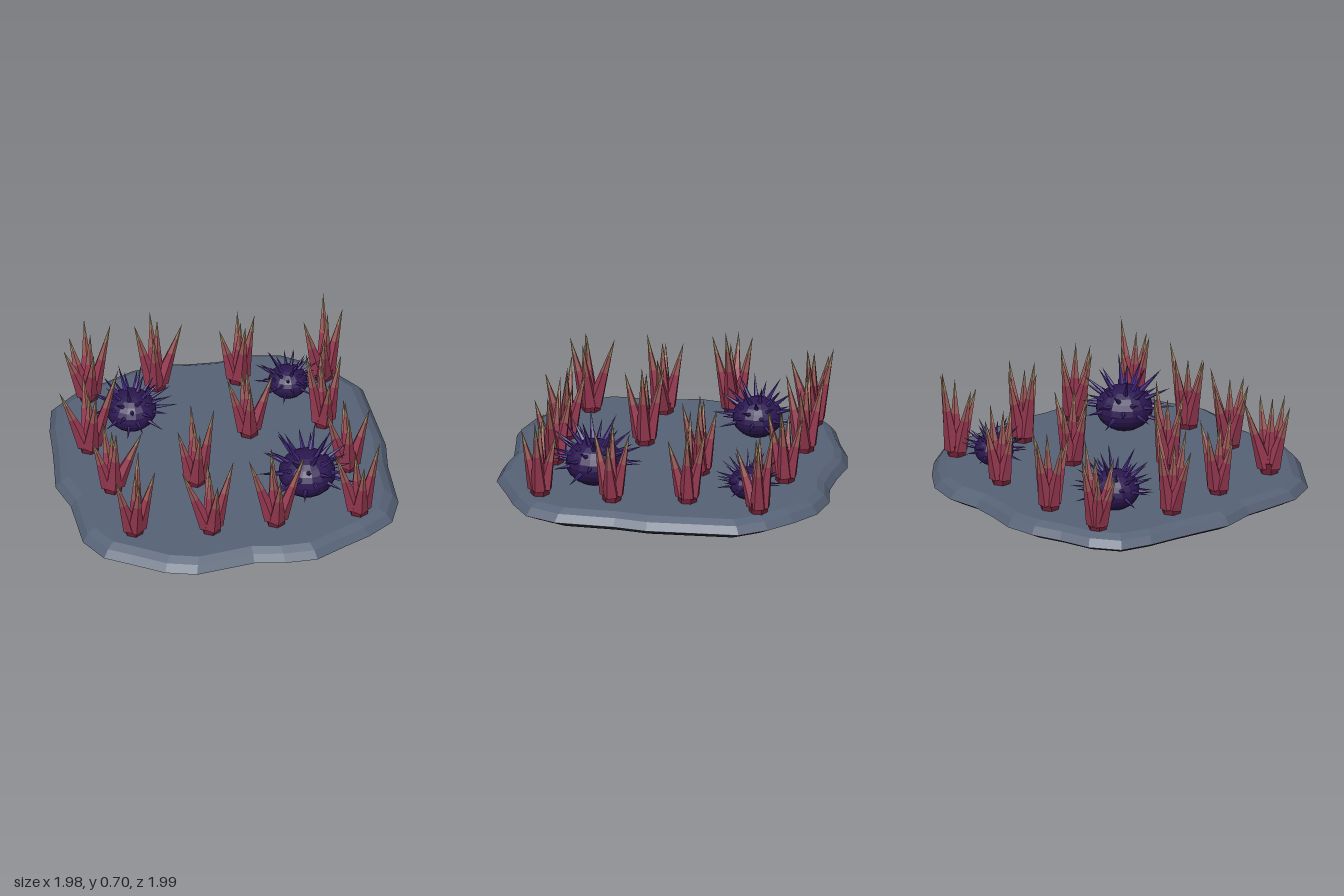
import * as THREE from 'three';

const mat = (color, flatShading = true) => new THREE.MeshStandardMaterial({ color, flatShading });
const stoneTop = mat(0x566276), stoneUnder = mat(0x2b3038);
const coralDark = mat(0x6e1f34), coralRed = mat(0x963850), coralMid = mat(0x9a5a58), coralTan = mat(0xa08365);
const urchinBody = mat(0x2c1850), urchinSpine = mat(0x432a80), urchinTip = mat(0x8a6a9c);

// small seeded generator for natural variation
let seed = 7;
const rand = (a, b) => {
  seed = (seed * 16807) % 2147483647;
  return a + (b - a) * (seed / 2147483647);
};

function add(parent, name, geometry, material) {
  const mesh = new THREE.Mesh(geometry, material);
  mesh.name = name;
  parent.add(mesh);
  return mesh;
}

// slab outline as x, z pairs
const OUTLINE = [
  [-.17, -1], [0, -.97], [.18, -.955], [.37, -.985], [.56, -.945], [.72, -.83], [.855, -.7], [.96, -.545],
  [.97, -.34], [.985, 0], [.955, .2], [.945, .55], [.87, .73], [.71, .835], [.56, .9], [.37, .99],
  [.18, .985], [0, .95], [-.35, .99], [-.53, .935], [-.71, .815], [-.85, .725], [-.94, .55], [-.94, .2],
  [-.99, 0], [-.96, -.18], [-.935, -.35], [-.915, -.53], [-.865, -.72], [-.71, -.84], [-.52, -.9], [-.35, -.97],
];

// skin between scaled copies of the outline, each ring is [scale, y]
function ringSkin(rings) {
  const pos = [], index = [], n = OUTLINE.length;
  for (const [s, y] of rings) for (const [x, z] of OUTLINE) pos.push(x * s, y, z * s);
  for (let r = 0; r < rings.length - 1; r++) {
    for (let i = 0; i < n; i++) {
      const a = r * n + i, b = r * n + (i + 1) % n;
      if (rings[r + 1][0] > 0) index.push(a, a + n, b + n);
      if (rings[r][0] > 0) index.push(a, b + n, b);
    }
  }
  const g = new THREE.BufferGeometry();
  g.setAttribute('position', new THREE.Float32BufferAttribute(pos, 3));
  g.setIndex(index);
  g.computeVertexNormals();
  return g;
}

// faceted spike from one point to another, split into coloured lengths [end fraction, material]
function spike(parent, name, from, to, radius, sides, bands) {
  const group = new THREE.Group();
  group.name = name;
  const dir = to.clone().sub(from), length = dir.length();
  let start = 0;
  for (const [end, material] of bands) {
    const h = (end - start) * length;
    const g = end === 1
      ? new THREE.ConeGeometry(radius * (1 - start), h, sides, 1, true)
      : new THREE.CylinderGeometry(radius * (1 - end), radius * (1 - start), h, sides, 1, true);
    g.translate(0, start * length + h / 2, 0);
    add(group, name, g, material);
    start = end;
  }
  group.position.copy(from);
  group.quaternion.setFromUnitVectors(new THREE.Vector3(0, 1, 0), dir.normalize());
  parent.add(group);
}

// coral clusters: centre x, z, then the outer spike tips as x, z offsets
const CORALS = [
  [-.645, -.715, [[-.15, .015], [0, -.125], [.13, .01], [.005, .13], [-.1, -.08]]],
  [-.235, -.735, [[-.13, -.01], [-.015, -.115], [.155, 0], [-.04, .115]]],
  [.245, -.7, [[.02, -.11], [.1, 0], [.025, .1], [-.11, -.005]]],
  [.74, -.625, [[.02, -.095], [.12, -.02], [-.02, .135], [-.12, .01]]],
  [-.74, -.23, [[-.18, 0], [-.015, -.11], [.17, .02], [.015, .125]]],
  [.205, -.19, [[-.13, 0], [-.025, -.095], [.15, -.01], [-.015, .11]]],
  [.65, -.19, [[-.105, 0], [.005, -.11], [.11, -.015], [.015, .115]]],
  [-.685, .175, [[-.035, -.11], [.175, .01], [0, .1], [-.125, .01]]],
  [-.195, .205, [[-.005, -.115], [.11, 0], [0, .12], [-.11, .01]]],
  [.705, .25, [[-.005, -.105], [.13, .005], [-.015, .11], [-.135, .02]]],
  [-.645, .6, [[.055, -.15], [.12, .03], [.005, .125], [-.125, .055]]],
  [-.2, .675, [[0, -.12], [.14, -.03], [.015, .12], [-.175, -.005]]],
  [.185, .68, [[-.005, -.105], [.175, .01], [.005, .115], [-.16, -.01]]],
  [.68, .68, [[0, -.095], [.125, .01], [.01, .11], [-.14, .005]]],
];

function coral(x, z, tips, tall) {
  const group = new THREE.Group();
  group.name = 'coral';
  group.position.set(x, .115, z);
  group.add(new THREE.Group());
  // waisted foot
  add(group, 'coralFoot', new THREE.CylinderGeometry(.06, .055, .075, 6), coralDark).position.y = .035;
  const bands = [[.5, coralRed], [.75, coralMid], [1, coralTan]];
  tips.forEach(([dx, dz], i) => {
    const r = Math.hypot(dx, dz);
    const from = new THREE.Vector3(dx / r * .025, .045, dz / r * .025);
    const h = tall && i === tall.i ? tall.h : rand(.38, .5);
    spike(group, 'coralSpike', from, new THREE.Vector3(dx, h, dz), .05, 5, bands);
  });
  // upright middle spike
  const top = new THREE.Vector3(rand(-.03, .03), rand(.41, .5), rand(-.03, .03));
  spike(group, 'coralMiddleSpike', new THREE.Vector3(0, .05, 0), top, .05, 5, bands);
  return group;
}

function urchin(x, z, r) {
  const group = new THREE.Group();
  group.name = 'urchin';
  group.position.set(x, .11 + r * .77, z);
  add(group, 'urchinBody', new THREE.SphereGeometry(r, 16, 12), urchinBody).scale.y = .8;
  // spines spread evenly over the upper body
  const count = 36;
  for (let i = 0; i < count; i++) {
    const up = .92 - 1.1 * i / (count - 1), a = i * 2.39996 + x;
    const flat = Math.sqrt(1 - up * up);
    const dir = new THREE.Vector3(Math.cos(a) * flat, up, Math.sin(a) * flat);
    const from = dir.clone().multiplyScalar(r * .78);
    const to = dir.clone().multiplyScalar(r * rand(1.55, 1.9));
    spike(group, 'urchinSpine', from, to, r * .1, 5, [[.88, urchinSpine], [1, urchinTip]]);
  }
  return group;
}

export function createModel() {
  const model = new THREE.Group();
  model.name = 'reefSlab';
  add(model, 'slabUnderside', ringSkin([[0, 0], [.91, 0], [1, .05]]), stoneUnder);
  add(model, 'slabTop', ringSkin([[1, .05], [.967, .095], [.92, .12], [.5, .119], [0, .117]]), stoneTop);

  const tall = { 0: { i: 2, h: .53 }, 3: { i: 0, h: .55 }, 4: { i: 2, h: .58 }, 6: { i: 0, h: .54 }, 8: { i: 1, h: .52 } };
  CORALS.forEach(([x, z, tips], i) => model.add(coral(x, z, tips, tall[i])));

  for (const [x, z, r] of [[-.45, -.42, .148], [.51, -.53, .117], [.43, .4, .168]]) model.add(urchin(x, z, r));
  return model;
}
